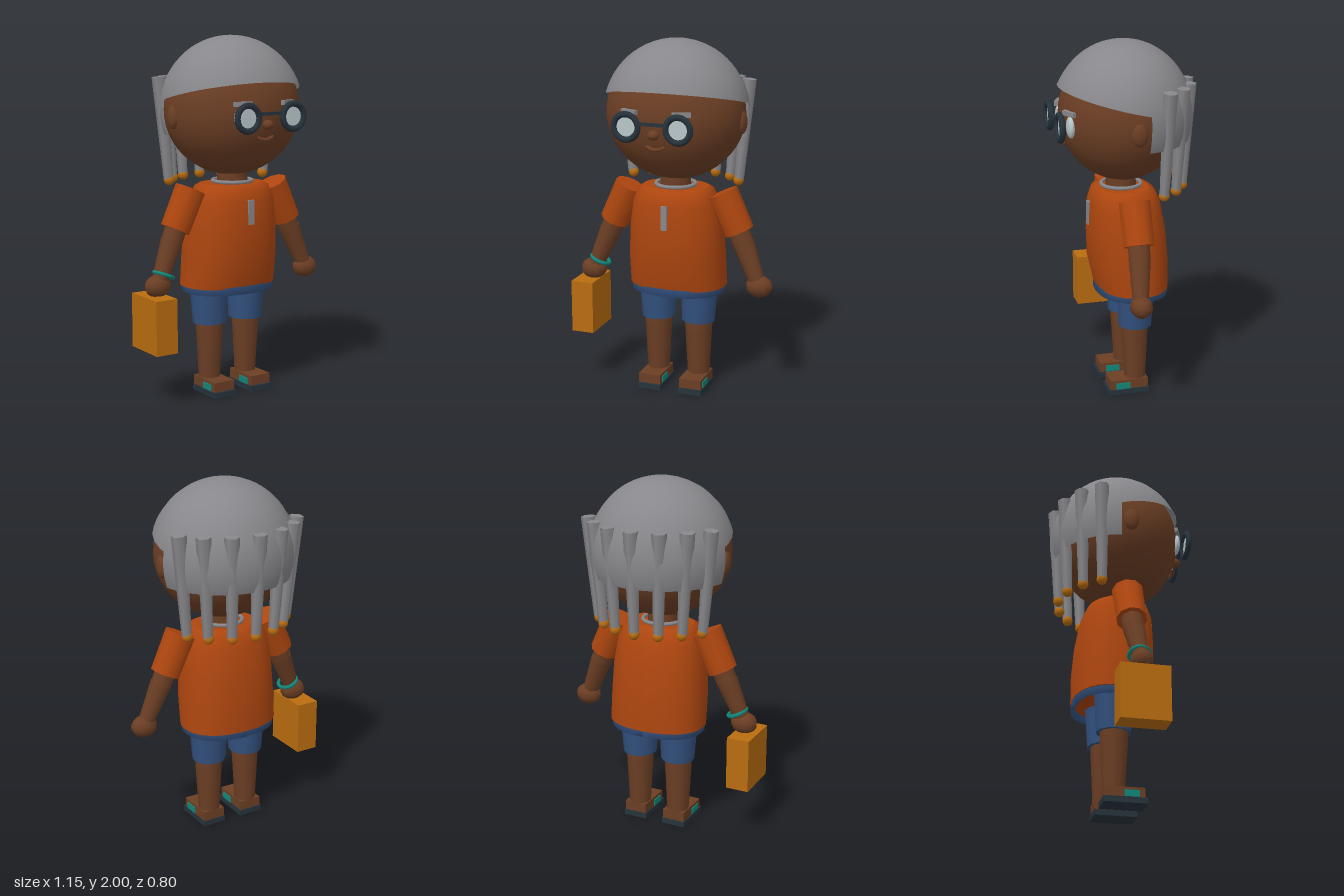
import * as THREE from 'three';

const mat = (name, color, side = THREE.FrontSide) => {
  const m = new THREE.MeshStandardMaterial({ color, side });
  m.name = name;
  return m;
};

export function createModel() {
  const root = new THREE.Group();
  root.name = 'childWithBag';
  const skin = mat('skin', 0x6b3e24);
  const hair = mat('hairGrey', 0x88888c, THREE.DoubleSide);
  const shirt = mat('shirtOrange', 0xae460f);
  const denim = mat('denimBlue', 0x32507d, THREE.DoubleSide);
  const dark = mat('darkSlate', 0x26323b);
  const pale = mat('paleGlass', 0xb9c6ca, THREE.DoubleSide);
  const teal = mat('teal', 0x12877a);
  const amber = mat('amber', 0xb96c10);

  const add = (name, geo, m, x = 0, y = 0, z = 0) => {
    const mesh = new THREE.Mesh(geo, m);
    mesh.name = name;
    mesh.position.set(x, y, z);
    root.add(mesh);
    return mesh;
  };
  const ball = (name, m, p, r, w = 24, h = 16) => {
    const mesh = add(name, new THREE.SphereGeometry(1, w, h), m, ...p);
    mesh.scale.set(...r);
    return mesh;
  };
  const box = (name, m, x, y, z, w, h, d) => add(name, new THREE.BoxGeometry(w, h, d), m, x, y, z);
  // Tapered limb running from point a to point b
  const limb = (name, m, a, b, ra, rb, sides = 10) => {
    const A = new THREE.Vector3(...a), B = new THREE.Vector3(...b);
    const dir = A.clone().sub(B);
    const mesh = add(name, new THREE.CylinderGeometry(ra, rb, dir.length(), sides), m);
    mesh.position.copy(A).add(B).multiplyScalar(0.5);
    mesh.quaternion.setFromUnitVectors(new THREE.Vector3(0, 1, 0), dir.normalize());
    return mesh;
  };
  // Body of rounded cross-sections, rows listed top down: [y, halfWidth, zFront, zBack]
  const loft = (name, m, rows, open = false) => {
    const n = rows.length - 1;
    const geo = new THREE.CylinderGeometry(1, 1, 1, 28, n, open);
    geo.rotateY(Math.PI);
    const p = geo.attributes.position;
    const soft = (v) => Math.sign(v) * Math.abs(v) ** 0.88;
    for (let i = 0; i < p.count; i++) {
      const [y, hw, zf, zb] = rows[Math.round((0.5 - p.getY(i)) * n)];
      p.setXYZ(i, soft(p.getX(i)) * hw, y, (zf + zb) / 2 + soft(p.getZ(i)) * (zf - zb) / 2);
    }
    geo.computeVertexNormals();
    return add(name, geo, m);
  };

  // Head and face
  ball('head', skin, [0, 1.6, 0], [0.387, 0.365, 0.345], 32, 24);
  ball('nose', skin, [0, 1.532, 0.345], [0.032, 0.027, 0.032], 12, 8);
  const smile = new THREE.QuadraticBezierCurve3(
    new THREE.Vector3(-0.05, 1.465, 0.318), new THREE.Vector3(0, 1.437, 0.338), new THREE.Vector3(0.05, 1.465, 0.318));
  add('mouth', new THREE.TubeGeometry(smile, 10, 0.011, 6), skin);
  for (const s of [-1, 1]) {
    ball('ear', skin, [s * 0.378, 1.565, 0], [0.026, 0.064, 0.044], 14, 10);
    ball('eye', pale, [s * 0.14, 1.57, 0.315], [0.055, 0.06, 0.022], 16, 10);
    box('eyebrow', hair, s * 0.145, 1.645, 0.322, 0.1, 0.025, 0.024).rotation.y = s * 0.4;
    add('glassesRim', new THREE.TorusGeometry(0.068, 0.017, 8, 20), dark, s * 0.145, 1.573, 0.373);
    add('lens', new THREE.CircleGeometry(0.06, 20), pale, s * 0.145, 1.573, 0.373);
  }
  box('glassesBridge', dark, 0, 1.593, 0.373, 0.14, 0.017, 0.017);

  // Hair: tilted cap and a shell round the back
  const cap = add('hairCap', new THREE.SphereGeometry(0.4, 28, 14, 0, Math.PI * 2, 0, 1.39), hair, 0, 1.6, 0);
  cap.scale.z = 0.95;
  cap.rotation.x = -0.23;
  const gap = 0.15;
  const shell = add('backHair', new THREE.SphereGeometry(0.405, 20, 10, Math.PI + gap, Math.PI - 2 * gap, 1.1, 0.815), hair, 0, 1.6, 0);
  shell.scale.z = 0.955;

  // Seven beaded locks fanned round the back
  for (const [x, z] of [[-0.365, -0.165], [-0.275, -0.262], [-0.15, -0.335], [0, -0.365], [0.15, -0.335], [0.275, -0.262], [0.365, -0.165]]) {
    limb('lock', hair, [x, 1.775, z], [x * 0.87, 1.21, z * 0.92], 0.041, 0.027, 6);
    ball('lockBead', amber, [x * 0.86, 1.207, z * 0.92], [0.03, 0.03, 0.03], 10, 8);
  }

  // Neck, shirt and waistband
  limb('neck', skin, [0, 1.3, 0.005], [0, 1.15, 0.005], 0.082, 0.087, 14);
  const necklace = add('necklace', new THREE.TorusGeometry(0.11, 0.011, 6, 24), hair, 0, 1.2, 0.004);
  necklace.rotation.x = Math.PI / 2;
  loft('shirt', shirt, [
    [1.19, 0.185, 0.13, -0.14], [1.172, 0.212, 0.165, -0.175], [1.1, 0.243, 0.188, -0.207],
    [0.95, 0.265, 0.195, -0.235], [0.78, 0.273, 0.19, -0.25], [0.615, 0.277, 0.152, -0.25]]);
  loft('waistband', denim, [
    [0.625, 0.266, 0.155, -0.248], [0.58, 0.266, 0.155, -0.248], [0.58, 0.245, 0.135, -0.228], [0.625, 0.245, 0.135, -0.228]], true);
  box('chestTab', hair, 0, 1.043, 0.19, 0.036, 0.135, 0.018);

  for (const s of [-1, 1]) {
    // Arms
    limb('sleeve', shirt, [s * 0.27, 1.17, 0], [s * 0.37, 0.955, 0], 0.088, 0.084, 10);
    limb('upperArm', skin, [s * 0.35, 1.0, 0], [s * 0.395, 0.89, 0.005], 0.062, 0.06);
    limb('forearm', skin, [s * 0.393, 0.9, 0.005], [s * 0.485, 0.68, 0.023], 0.062, 0.044);
    ball('hand', skin, [s * 0.495, 0.66, 0.022], [0.077, 0.062, 0.061], 9, 7);

    // Legs
    limb('shortsLeg', denim, [s * 0.125, 0.62, -0.045], [s * 0.12, 0.4, -0.045], 0.108, 0.095, 12);
    limb('thigh', skin, [s * 0.122, 0.45, -0.043], [s * 0.122, 0.35, -0.043], 0.08, 0.077);
    limb('shin', skin, [s * 0.122, 0.355, -0.043], [s * 0.122, 0.06, -0.046], 0.077, 0.061);

    // Shoes
    box('shoeSole', dark, s * 0.122, 0.016, 0.007, 0.14, 0.032, 0.235);
    box('shoeUpper', skin, s * 0.122, 0.059, 0.003, 0.13, 0.054, 0.216);
    box('shoeStrap', teal, s * 0.122, 0.052, 0.04, 0.142, 0.036, 0.08);
  }

  // Bracelet and carried bag
  const bracelet = add('bracelet', new THREE.TorusGeometry(0.055, 0.011, 6, 16), teal, -0.455, 0.717, 0.018);
  bracelet.quaternion.setFromUnitVectors(new THREE.Vector3(0, 0, 1), new THREE.Vector3(-0.39, -0.92, 0.07).normalize());
  box('bag', amber, -0.515, 0.46, 0.022, 0.13, 0.3, 0.265);

  return root;
}
